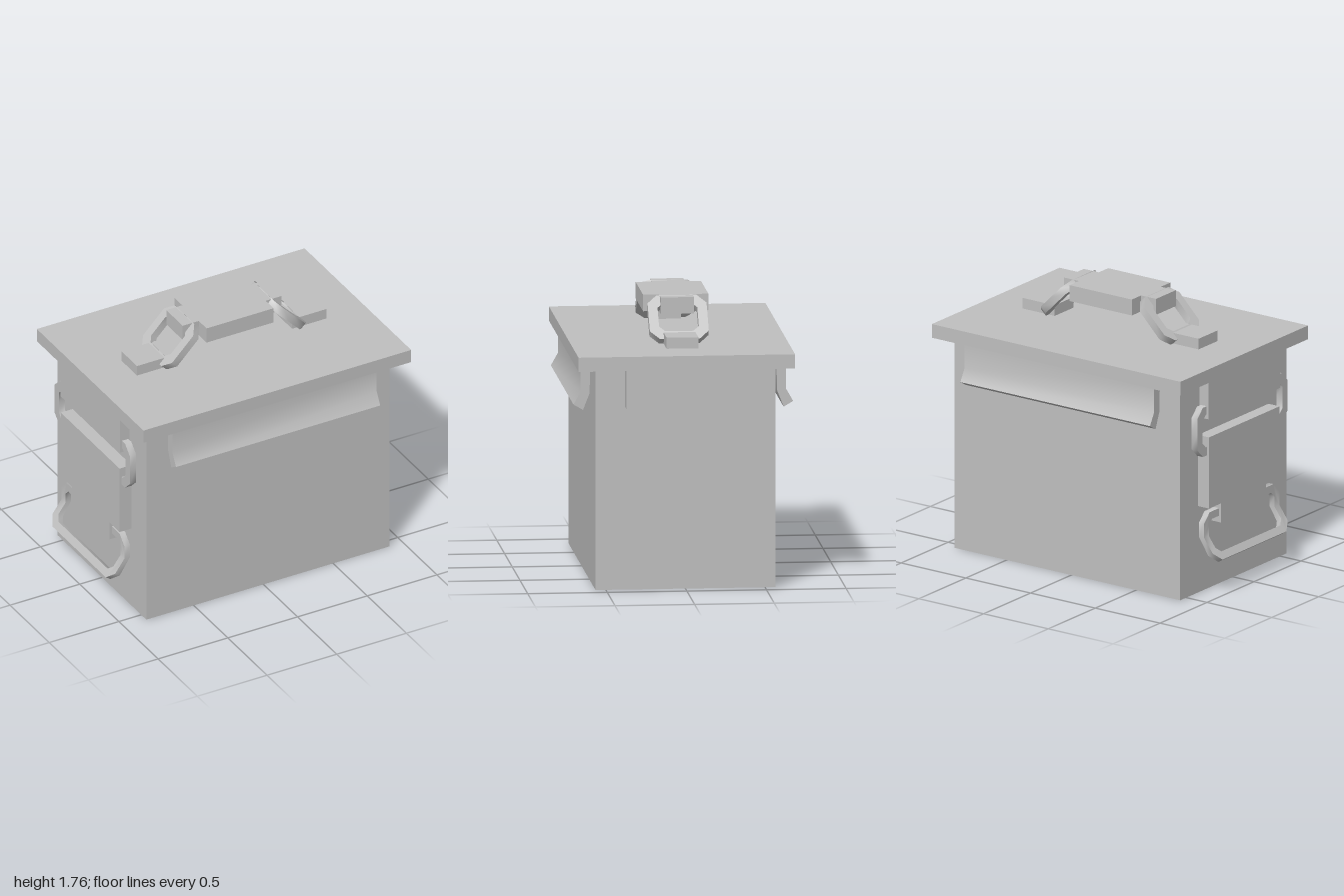
import * as THREE from 'three';
import { toCreasedNormals } from 'three/addons/utils/BufferGeometryUtils.js';

const CX = 0.035; // middle of the body along x

export function createModel() {
  const group = new THREE.Group();
  const grey = new THREE.MeshStandardMaterial({ color: 0xc0c0c0 });

  const add = (name, geometry) => {
    const mesh = new THREE.Mesh(geometry, grey);
    mesh.name = name;
    group.add(mesh);
    return mesh;
  };

  // Box given by its limits on each axis
  const box = (name, x0, x1, y0, y1, z0, z1) =>
    add(name, new THREE.BoxGeometry(x1 - x0, y1 - y0, z1 - z0)
      .translate((x0 + x1) / 2, (y0 + y1) / 2, (z0 + z1) / 2));

  // Rectangle with cut corners; rowY adds a point on both long sides
  const outline = (w, h, c, rowY) => {
    const a = w / 2, b = h / 2;
    return [
      [a - c, -b], [a, -b + c], [a, rowY], [a, b - c], [a - c, b],
      [-a + c, b], [-a, b - c], [-a, rowY], [-a, -b + c], [-a + c, -b],
    ].map(([x, y]) => new THREE.Vector2(x, y));
  };

  // Flat link standing in the z-y plane, its thickness along x
  const link = (w, h, bar, cut, depth, rowY = 0) => {
    const shape = new THREE.Shape(outline(w, h, cut, rowY));
    shape.holes.push(new THREE.Path(outline(w - 2 * bar, h - 2 * bar, cut * 0.6, rowY)));
    return new THREE.ExtrudeGeometry(shape, { depth, bevelEnabled: false })
      .translate(0, 0, -depth / 2).rotateY(-Math.PI / 2);
  };
  const smooth = (geometry) => toCreasedNormals(geometry, 0.9);

  // Body and lid
  box('body', -0.84, 0.905, 0, 1.4, -0.565, 0.565);
  box('lid', -0.925, 0.995, 1.4, 1.49, -0.68, 0.68);

  // Straight flaps hanging from the lid ends
  box('leftFlap', 0.92, 0.995, 1.16, 1.4, -0.38, 0.38);
  box('rightFlap', -0.925, -0.855, 1.16, 1.4, -0.38, 0.38);

  // Flared skirts at front and back
  const profile = new THREE.Shape([
    [0.585, 1.4], [0.589, 1.225], [0.63, 1.12], [0.69, 1.155], [0.645, 1.235], [0.645, 1.4],
  ].map(([z, y]) => new THREE.Vector2(z, y)));
  const skirt = toCreasedNormals(
    new THREE.ExtrudeGeometry(profile, { depth: 1.465, bevelEnabled: false })
      .translate(0, 0, -0.7325).rotateY(-Math.PI / 2), 0.65);
  add('frontSkirt', skirt).position.x = CX;
  const back = add('backSkirt', skirt);
  back.position.x = CX;
  back.rotation.y = Math.PI;

  // Top handle: grip with narrow ends, tilted links and pads
  box('grip', CX - 0.24, CX + 0.24, 1.655, 1.76, -0.205, 0.205);
  for (const s of [-1, 1]) {
    const side = s < 0 ? 'right' : 'left';
    const span = (a, b) => [CX + s * a, CX + s * b].sort((p, q) => p - q);
    box(side + 'GripEnd', ...span(0.24, 0.355), 1.655, 1.76, -0.105, 0.105);
    box(side + 'HandlePad', ...span(0.432, 0.68), 1.49, 1.56, -0.1, 0.1);
    const ring = add(side + 'HandleLink', smooth(link(0.37, 0.335, 0.06, 0.06, 0.052)));
    ring.position.set(CX + s * 0.3825, 1.625, 0);
    ring.rotation.z = s * 0.78;
  }

  // Latch plate with its lower tab
  box('latchPlate', -0.925, -0.84, 0.57, 1.04, -0.375, 0.375);
  box('latchTab', -0.92, -0.84, 0.44, 0.57, -0.24, 0.24);

  // Link joining the latch plate to the lid flap
  add('upperLatchLink', smooth(link(0.96, 0.325, 0.055, 0.06, 0.045)))
    .position.set(-0.888, 1.082, 0);

  // Pull ring, its lower half bent outwards
  const row = 0.015;
  const pull = link(0.8, 0.335, 0.05, 0.06, 0.04, row);
  const p = pull.attributes.position;
  for (let i = 0; i < p.count; i++) {
    const d = row - p.getY(i), e = p.getX(i);
    if (d > 0.001) {
      p.setX(i, 0.83 * e - 0.56 * d);
      p.setY(i, row - 0.83 * d - 0.56 * e);
    }
  }
  add('latchPullRing', smooth(pull)).position.set(-0.885, 0.365, 0);

  return group;
}
